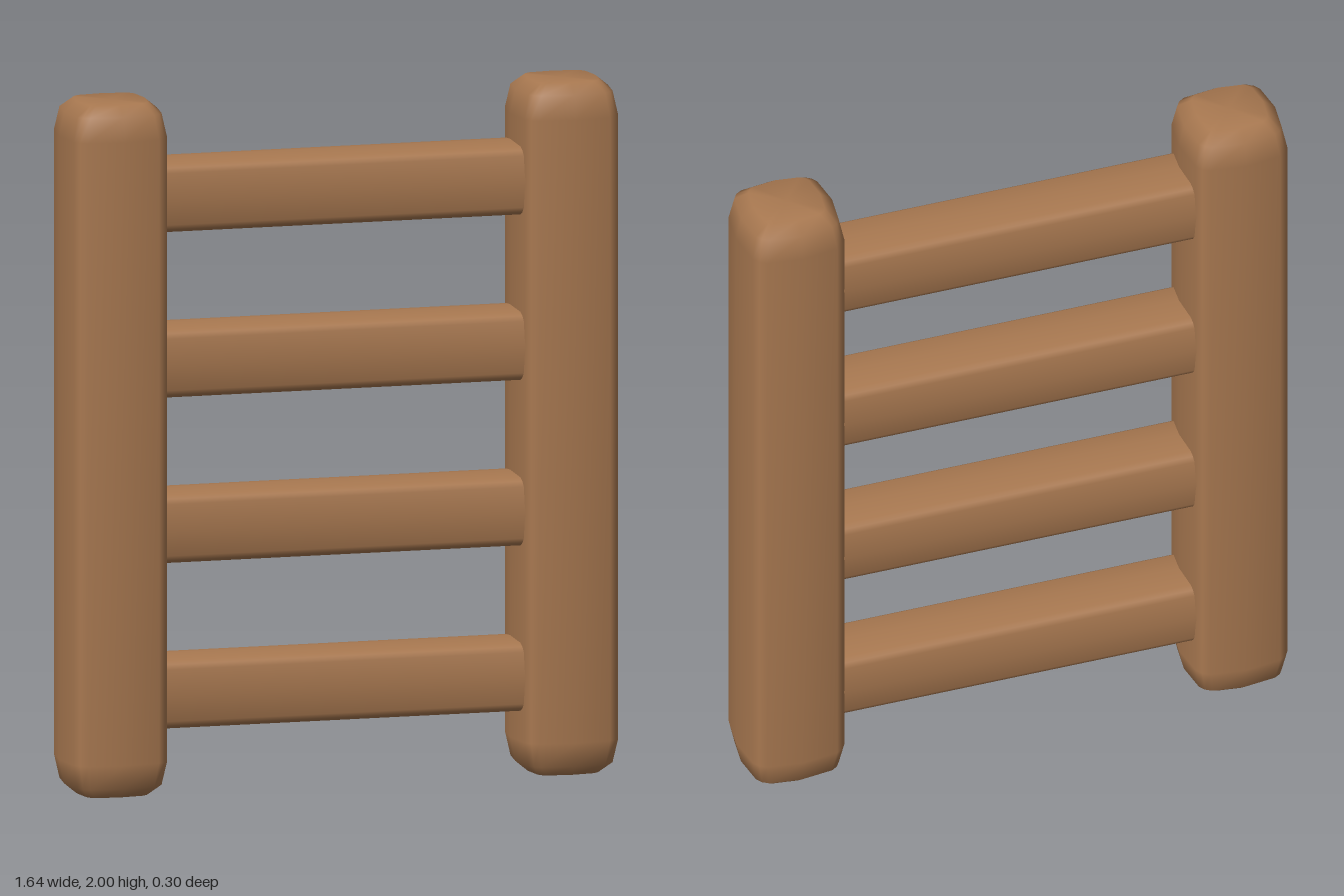
import * as THREE from 'three';

// One quarter of a softly bulging rounded square, as [x, z] for half width 0.152
const QUARTER = [[0.152, 0], [0.138, 0.105], [0.125, 0.125], [0.105, 0.138]];

// Full cross-section: the quarter turned four times
function section() {
  const points = [];
  for (let q = 0; q < 4; q++) {
    for (const [x, z] of QUARTER) {
      points.push([[x, z], [-z, x], [-x, -z], [z, -x]][q]);
    }
  }
  return points;
}

// Loft the section along y through rings of [y, scale]
function loft(rings) {
  const points = section();
  const n = points.length;
  const positions = [];
  const index = [];
  for (const [y, s] of rings) {
    for (const [x, z] of points) positions.push(x * s, y, z * s);
  }
  for (let i = 0; i < rings.length - 1; i++) {
    for (let j = 0; j < n; j++) {
      const a = i * n + j;
      const b = i * n + (j + 1) % n;
      index.push(a, a + n, b, b, a + n, b + n);
    }
  }
  const geometry = new THREE.BufferGeometry();
  geometry.setAttribute('position', new THREE.Float32BufferAttribute(positions, 3));
  geometry.setIndex(index);
  geometry.computeVertexNormals();
  return geometry;
}

export function createModel() {
  const group = new THREE.Group();
  group.name = 'ladder';
  const wood = new THREE.MeshStandardMaterial({ color: 0xa87850 });
  wood.name = 'brown wood';

  // Upright posts with rounded ends
  const postGeometry = loft([
    [0, 0], [0, 0.66], [0.03, 0.9], [0.1, 1],
    [1.9, 1], [1.97, 0.9], [2, 0.66], [2, 0],
  ]);
  for (const side of [-1, 1]) {
    const post = new THREE.Mesh(postGeometry, wood);
    post.name = side > 0 ? 'leftPost' : 'rightPost';
    post.position.x = side * 0.666;
    group.add(post);
  }

  // Four evenly spaced rungs, their ends sunk into the posts
  const s = 0.108 / 0.152;
  const rungGeometry = loft([[-0.62, s], [0.62, s]]).rotateZ(Math.PI / 2);
  for (let i = 0; i < 4; i++) {
    const rung = new THREE.Mesh(rungGeometry, wood);
    rung.name = `rung${i + 1}`;
    rung.position.y = 0.286 + i * 0.478;
    group.add(rung);
  }

  return group;
}
